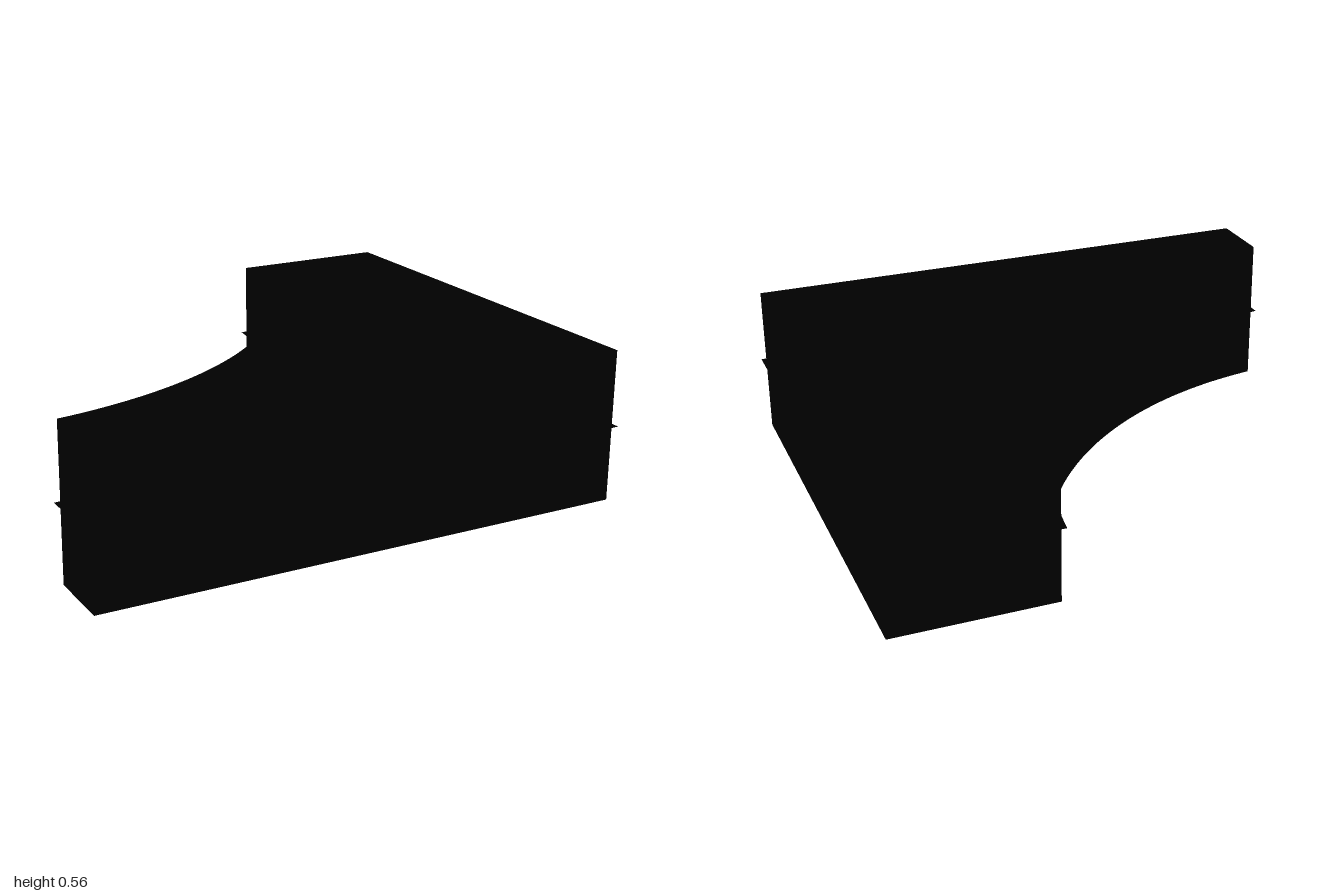
import * as THREE from 'three';
import { toCreasedNormals } from 'three/addons/utils/BufferGeometryUtils.js';

const HEIGHT = 0.555;
const ARC = { x: -1.19, z: -1.02, r: 1.585 };

// Plan outline: a rectangle with one corner scooped out by a circular arc
function outline(inset) {
  const w = 1 - inset, d = 0.83 - inset, r = ARC.r + inset;
  const a0 = Math.acos((-w - ARC.x) / r);
  const a1 = Math.asin((-d - ARC.z) / r);
  const s = new THREE.Shape();
  s.moveTo(w, -d);
  s.lineTo(w, d);
  s.lineTo(-w, d);
  s.absarc(ARC.x, ARC.z, r, a0, a1, true);
  s.closePath();
  return s;
}

export function createModel() {
  const group = new THREE.Group();
  const black = new THREE.MeshStandardMaterial({ color: 0x000000 });
  const blackSheet = new THREE.MeshStandardMaterial({ color: 0x000000, side: THREE.DoubleSide });

  // Solid slab, shape y laid along z
  const slab = new THREE.ExtrudeGeometry(outline(0.016), { depth: HEIGHT, bevelEnabled: false, curveSegments: 40 });
  slab.rotateX(Math.PI / 2).translate(0, HEIGHT, 0);
  const body = new THREE.Mesh(toCreasedNormals(slab, 0.5), black);
  body.name = 'body';

  // Paper-thin seam sheet standing slightly proud at mid height
  const sheet = new THREE.ShapeGeometry(outline(0), 40);
  sheet.rotateX(Math.PI / 2).translate(0, HEIGHT / 2, 0);
  const seam = new THREE.Mesh(sheet, blackSheet);
  seam.name = 'seamSheet';

  group.add(body, seam);
  return group;
}
